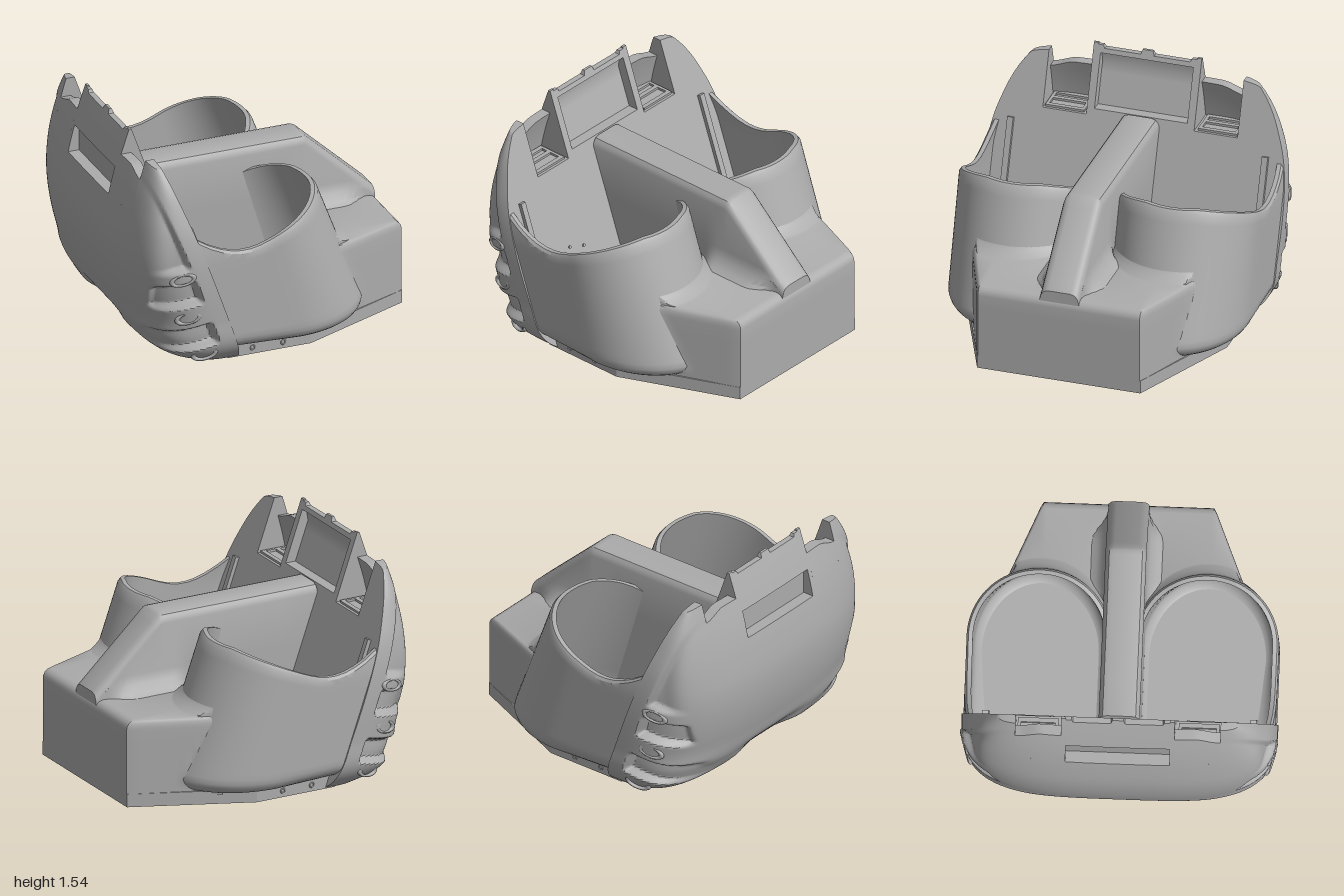
import * as THREE from 'three';
import { toCreasedNormals, mergeGeometries } from 'three/addons/utils/BufferGeometryUtils.js';

const grey = new THREE.MeshStandardMaterial({ color: 0xacacac, side: THREE.DoubleSide });
grey.name = 'plain grey';

const range = (n, a = 0, b = 1) => Array.from({ length: n + 1 }, (_, i) => a + (b - a) * i / n);
const curve = (pts) => {
  const c = new THREE.CubicInterpolant(pts.map(p => p[0]), pts.map(p => p[1]), 1);
  return t => c.evaluate(t)[0];
};
const step = (a, b, t) => THREE.MathUtils.smoothstep(t, a, b);
const clamp = THREE.MathUtils.clamp;

// Closed solid between two grids of points, front(u, v) and back(u, v)
function solid(us, vs, front, back, crease = 0.6) {
  const pos = [];
  const quad = (a, b, c, d) => pos.push(...a, ...b, ...c, ...a, ...c, ...d);
  const rings = us.map(u => [...vs.map(v => front(u, v)), ...vs.map(v => back(u, v)).reverse()]);
  const m = rings[0].length;
  for (let i = 0; i < us.length - 1; i++)
    for (let j = 0; j < m; j++) {
      const k = (j + 1) % m;
      quad(rings[i][j], rings[i + 1][j], rings[i + 1][k], rings[i][k]);
    }
  for (const [r, flip] of [[rings[0], false], [rings[us.length - 1], true]])
    for (let j = 0; j < vs.length - 1; j++) {
      const q = [r[j], r[j + 1], r[m - 2 - j], r[m - 1 - j]];
      quad(...(flip ? q.reverse() : q));
    }
  const g = new THREE.BufferGeometry();
  g.setAttribute('position', new THREE.Float32BufferAttribute(pos, 3));
  return toCreasedNormals(g, crease);
}

// Horizontal plate from [x, z] outline points
function plate(pts, y, h, holes = []) {
  const v = list => list.map(([x, z]) => new THREE.Vector2(x, -z));
  const s = new THREE.Shape(v(pts));
  holes.forEach(q => s.holes.push(new THREE.Path(v(q))));
  return new THREE.ExtrudeGeometry(s, { depth: h, bevelEnabled: false }).rotateX(-Math.PI / 2).translate(0, y, 0);
}
const rect = (x0, x1, z0, z1) => [[x0, z0], [x1, z0], [x1, z1], [x0, z1]];

// Slanted joint plane, mask outline from the side, mask half width
const P = y => -0.28 - (y - 0.08) * 0.355;
const LEAN = Math.atan(0.355);
const maskFront = curve([[0.072, -0.62], [0.13, -0.77], [0.25, -0.87], [0.4, -0.925], [0.6, -0.97],
  [0.8, -0.985], [1, -0.965], [1.2, -0.925], [1.4, -0.865], [1.54, -0.815]]);
const maskHalf = curve([[0.072, 0.86], [0.13, 0.93], [0.22, 0.985], [0.4, 0.998], [0.8, 0.998],
  [1, 0.97], [1.13, 0.93], [1.3, 0.855], [1.42, 0.77], [1.46, 0.73]]);
const power = y => 3.2 + 1 * (1 - step(0.1, 0.45, y));
const skinX = (z, y) => P(y) + (maskFront(y) - P(y)) *
  Math.pow(Math.max(0, 1 - Math.pow(Math.min(1, Math.abs(z) / maskHalf(y)), power(y))), 1 / power(y));
const skinZ = (x, y) => maskHalf(y) *
  Math.pow(Math.max(0, 1 - Math.pow((P(y) - x) / (P(y) - maskFront(y)), power(y))), 1 / power(y));

// Side channels cut into the cheeks, and the hollow under the chin
function dent(x, y) {
  const q = y - 0.25 * (x + 0.7), strip = step(0.105, 0.145, P(y) - x), end = step(-0.88, -0.82, x);
  const band = (a, b) => step(a, a + 0.045, q) * (1 - step(b - 0.045, b, q));
  return strip * (0.07 * end * (band(0.51, 0.71) + band(0.18, 0.37)) + 0.05 * step(-0.9, -0.72, x) * step(0.77, 0.82, q));
}
const chin = (z, y) => 0.06 * (1 - step(0.15, 0.4, Math.abs(z))) * (1 - step(0.12, 0.32, y));

// Pod plan: straight outer side, round end, straight inner side
const podShape = (y) => {
  const t = clamp((y - 0.24) / 0.84, 0, 1), low = clamp((0.26 - y) / 0.1, 0, 1);
  return { cx: 0.12 - 0.22 * t, rx: 0.56 - 0.1 * t, round: 0.085 * (1 - Math.sqrt(1 - low * low)) };
};
const podPath = (u, y, off) => {
  const { cx, rx, round } = podShape(y), o = off + round;
  if (u < 0.25) return [P(y) + (cx - P(y)) * u * 4, 0.99 - o - Math.max(0, 0.995 - maskHalf(y)) * (1 - 4 * u)];
  if (u > 0.9) return [cx + (P(y) - cx) * (u - 0.9) * 10, 0.07 + o];
  const a = Math.PI * (0.5 - (u - 0.25) / 0.65);
  return [cx + (rx - o) * Math.cos(a), 0.53 + (0.46 - o) * Math.sin(a)];
};
const podUs = [...range(8, 0, 0.25), ...range(40, 0.25, 0.9).slice(1), 1];
const podRim = curve([[-0.62, 1.0], [-0.52, 0.925], [-0.4, 0.875], [-0.3, 0.865], [-0.2, 0.88],
  [0, 0.95], [0.2, 1.02], [0.36, 1.075]]);

export function createModel() {
  const model = new THREE.Group();
  const add = (name, geo, parent = model) => {
    const m = new THREE.Mesh(geo, grey);
    m.name = name;
    parent.add(m);
    return m;
  };

  // Front mask up to the shelf, with its rear panel on the joint plane
  const maskZ = (u, y) => {
    const a = Math.PI / 2 * (1 - Math.pow(1 - Math.abs(u), 1.6));
    return Math.sign(u) * maskHalf(y) * Math.pow(Math.sin(a), 2 / power(y));
  };
  add('maskShell', solid(range(150, -1, 1), [0.072, 0.08, 0.09, 0.1, 0.115, ...range(100, 0.13, 1.1)], (u, y) => {
    const z = maskZ(u, y), x = skinX(z, y);
    return [x + chin(z, y), y, z - Math.sign(z) * dent(x, y)];
  }, (u, y) => [P(y), y, maskZ(u, y) * (1 - 0.0001)]));

  // Central hood with a front slot, a rear pocket and a notched crest
  const hoodTop = z => (Math.abs(z) < 0.04 || Math.abs(z) > 0.33 ? 1.54 : Math.abs(z) > 0.29 ? 1.53 : 1.51);
  const half = [0.035, 0.045, 0.15, 0.285, 0.295, 0.31, 0.3101, 0.33, 0.3301, 0.36];
  const hoodZ = [...half.map(z => -z).reverse(), ...half];
  const hoodY = [1.1, 1.1001, 1.14, 1.1401, 1.2, 1.26, 1.28, 1.2801, 1.34, 1.4, 1.48, 1.4801, 1.51, 1.54];
  add('maskHood', solid(hoodZ, hoodY, (z, v) => {
    const y = Math.min(v, hoodTop(z)), x = skinX(z, y);
    const slot = Math.abs(z) <= 0.33 && y > 1.1 && y <= 1.28;
    return [slot ? Math.max(x, -0.87) : x, y, z];
  }, (z, v) => {
    const y = Math.min(v, hoodTop(z)), pocket = Math.abs(z) <= 0.31 && y > 1.14 && y <= 1.48;
    return [pocket ? Math.max(skinX(z, y) + 0.03, P(y) - 0.07) : P(y), y, z];
  }));

  for (const s of [1, -1]) {
    const side = new THREE.Group();
    side.name = s > 0 ? 'frontSideParts' : 'backSideParts';
    model.add(side);

    // Thin mask wall beside the hood
    const wallY = (z, v) => 1.1 + v * (0.275 - 0.05 * step(0.48, 0.66, z));
    add('maskWall', solid(range(10, 0.36, 0.65), range(8), (z, v) => [skinX(z, wallY(z, v)), wallY(z, v), s * z],
      (z, v) => [Math.min(P(wallY(z, v)), skinX(z, wallY(z, v)) + 0.07), wallY(z, v), s * z]), side);

    // Pointed cheek fin with a sloping tip
    const finPoint = (u, v, onSkin) => {
      const y = 1.1 + v * (0.35 - 0.03 * u), z = 0.65 + (maskHalf(y) - 0.65) * (1 - Math.pow(1 - u, 2.5));
      if (!onSkin) return [P(y), y, s * z];
      const x = skinX(z, y);
      return [x, y, s * Math.max(0.65, z - dent(x, y))];
    };
    add('cheekFin', solid(range(40), range(36), (u, v) => finPoint(u, v, true), (u, v) => finPoint(u, v, false)), side);

    // Slotted tray on the shelf
    add('shelfTray', plate(rect(-0.86, -0.66, s * 0.38, s * 0.64), 1.09, 0.025,
      [rect(-0.83, -0.79, s * 0.4, s * 0.62), rect(-0.76, -0.69, s * 0.4, s * 0.62)]), side);

    // Oval vents on the cheek
    for (const [x, y] of [[-0.7, 0.73], [-0.66, 0.45], [-0.54, 0.17]]) {
      const v = add('cheekVent', new THREE.TorusGeometry(0.065, 0.016, 8, 28), side);
      v.scale.set(1.1, 0.55, 1);
      v.position.set(x, y, s * (skinZ(x, y) - 0.012 - 0.5 * dent(x, y)));
      v.rotation.set(0, -s * 0.3, 0.25);
    }

    // Open pod wall and floor
    const podPoint = (u, v, off) => {
      const rim = podRim(podPath(u, 0.98, 0)[0]), y = 0.16 + (rim - 0.16) * v;
      const [x, z] = podPath(u, y, off);
      return [x, y, s * z];
    };
    const podVs = [0, 0.01, 0.03, 0.06, 0.09, 0.13, ...range(12, 0.18, 0.975), 1];
    add('podWall', solid(podUs, podVs, (u, v) => podPoint(u, v, v === 1 ? 0.012 : 0), (u, v) => podPoint(u, v, 0.04)), side);
    add('podFloor', plate(podUs.map(u => podPath(u, 0.16, 0)).map(([x, z]) => [x, s * z]), 0.155, 0.015), side);

    // Rail, bolt bosses and hexagonal ring on the rear panel
    const panel = new THREE.Group();
    panel.name = 'panelFittings';
    panel.position.set(P(0.6), 0.6, 0);
    panel.rotation.z = LEAN;
    side.add(panel);
    add('panelRail', new THREE.BoxGeometry(0.03, 0.88, 0.04).translate(0.01, 0, s * 0.85), panel);
    add('hexRing', new THREE.TorusGeometry(0.1, 0.008, 6, 6).rotateY(Math.PI / 2).translate(0.002, -0.2, s * 0.55), panel);
    for (let i = 0; i < 10; i++) {
      const a = i / 10 * Math.PI * 2;
      add('panelBolt', new THREE.CylinderGeometry(0.01, 0.01, 0.012, 10).rotateZ(Math.PI / 2)
        .translate(0.003, -0.2 + 0.2 * Math.cos(a), s * (0.55 + 0.2 * Math.sin(a))), panel);
    }

    // Screw rings along the base edge
    for (const x of [-0.18, 0.03])
      add('baseScrew', new THREE.TorusGeometry(0.015, 0.005, 6, 16).translate(x, 0.115, s * 0.87), side);
  }

  // Rear block, hugging the pod walls and filleted up against them
  const podBack = (z, y) => {
    const { cx, rx, round } = podShape(y), o = 0.012 + round, k = (Math.abs(z) - 0.53) / (0.46 - o);
    return cx + (rx - o) * Math.sqrt(Math.max(0, 1 - k * k));
  };
  const TOP = 0.652;
  const blockY = [0.14, 0.16, 0.18, 0.2, 0.23, 0.26, 0.3, 0.4, 0.5, 0.59, 0.61, 0.63, 0.645, TOP,
    0.6525, 0.66, 0.675, 0.695, 0.72, 0.74];
  add('rearBlock', solid(range(80, -0.8, 0.8), blockY, (z, y) => {
    const r = clamp((y - 0.59) / 0.062, 0, 1), round = 0.06 * (1 - Math.sqrt(1 - r * r));
    const over = Math.max(0, Math.abs(z) - 0.545), wall = podBack(z, y);
    const x = Math.max(0.98 - 2.5 * over - round, wall);
    return [y > TOP ? Math.min(x, wall + 0.08 * Math.pow(1 - (y - TOP) / 0.088, 2)) : x, y, z];
  }, (z, y) => [podBack(z, y) - 0.002, y, z]));

  // Central spine, flaring where it meets the rear block
  const spineTop = x => 1.145 - 0.93 * Math.max(0, x - 0.49);
  const spineHalf = [[0.13, 0.1, 0], [0.13, 0.64, 0.12], [0.13, 0.67, 0.06], [0.13, 0.72, 0.02], [0.13, 0.78, 0],
    [0.13, -0.06, 0], [0.12, -0.03, 0], [0.105, -0.01, 0], [0.075, 0, 0]];
  const spinePts = [...spineHalf, ...spineHalf.map(([z, y, f]) => [-z, y, -f]).reverse()];
  const spineXs = [-0.64, -0.4, 0, ...range(8, 0.25, 0.45), 0.48, 0.5, 0.55, 0.65, 0.7, 0.75, 0.8, 0.85, 0.89, 0.93, 0.97];
  add('spine', solid(spineXs, spinePts.map((_, i) => i), (x, i) => {
    const [z, y, f] = spinePts[i], top = spineTop(x);
    return [x, y > 0.05 ? Math.min(y, top - 0.06) : top + y, z + f * step(0.28, 0.42, x) * (1 - step(0.72, 0.92, x))];
  }, (x, i) => [x, 0.1, spinePts[i][0]]));

  // Base plate with a recessed grille of pegs
  const baseOutline = [[0.98, -0.545], [0.98, 0.545], [0.22, 0.87], [-0.35, 0.87], [-0.35, -0.87], [0.22, -0.87]];
  add('basePlate', plate(baseOutline, 0.072, 0.088, [rect(0.66, 0.95, -0.52, 0.52)]));
  const pegs = [];
  for (let i = 0; i < 7; i++)
    for (let j = 0; j < 22; j++)
      pegs.push(new THREE.CylinderGeometry(0.016, 0.016, 0.066, 8)
        .translate(0.685 + i * 0.04, 0.109, -0.49 + (j + (i % 2) * 0.5) * 0.0455));
  add('grillePegs', mergeGeometries(pegs));

  // Turntable foot under the base
  const foot = [[0, 0.035], [0.2, 0.035], [0.21, 0.037], [0.262, 0.072], [0.262, 0.085]].map(p => new THREE.Vector2(...p));
  add('footDisc', toCreasedNormals(new THREE.LatheGeometry(foot, 48).translate(0.135, 0, 0), 0.5));
  add('footHub', new THREE.CylinderGeometry(0.108, 0.108, 0.04, 24).translate(0.135, 0.02, 0));
  for (let i = 0; i < 8; i++) {
    const a = i / 8 * Math.PI * 2;
    add('footBolt', new THREE.CylinderGeometry(0.01, 0.01, 0.01, 10)
      .translate(0.135 + 0.15 * Math.cos(a), 0.033, 0.15 * Math.sin(a)));
  }
  return model;
}
